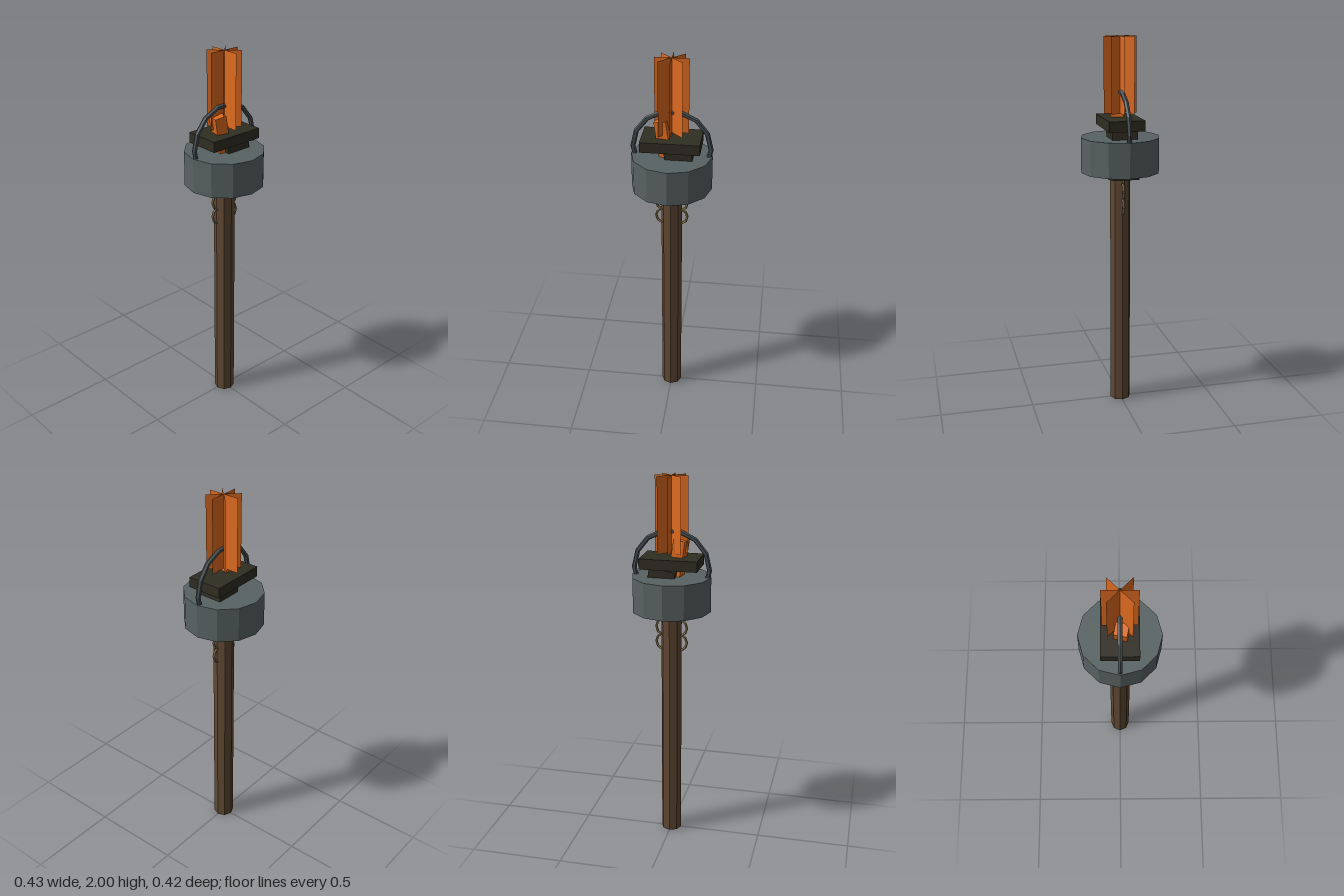
import * as THREE from 'three';

const material = (name, color, extra = {}) => {
  const m = new THREE.MeshStandardMaterial({ color, flatShading: true, ...extra });
  m.name = name;
  return m;
};

export function createModel() {
  const model = new THREE.Group();
  model.name = 'torch';

  const wood = material('wood', 0x604833);
  const iron = material('iron', 0x596363);
  const darkIron = material('dark iron', 0x485054);
  const char = material('charred wood', 0x302e23);
  const brass = material('brass', 0x8f7a52);
  const flame = material('flame orange', 0xdf6b20, { side: THREE.DoubleSide });

  const add = (name, geometry, mat, [x, y, z], [rx, ry, rz] = [0, 0, 0]) => {
    const mesh = new THREE.Mesh(geometry, mat);
    mesh.name = name;
    mesh.position.set(x, y, z);
    mesh.rotation.set(rx, ry, rz);
    model.add(mesh);
    return mesh;
  };

  // Shaft and the iron drum on top of it
  add('shaft', new THREE.CylinderGeometry(0.055, 0.055, 1.4, 8), wood, [0, 0.7, 0]);
  add('drum', new THREE.CylinderGeometry(0.21, 0.21, 0.185, 12), iron, [0, 1.39, 0]);

  // Ring handle, its lower half sunk into the drum
  add('handle', new THREE.TorusGeometry(0.2, 0.013, 6, 14), darkIron, [0, 1.52, 0]);

  // Burnt fuel: flat slab, tilted block and a glowing ember
  add('slab', new THREE.BoxGeometry(0.306, 0.055, 0.19), char, [0, 1.557, 0]);
  add('block', new THREE.BoxGeometry(0.14, 0.26, 0.135), char, [0.055, 1.395, 0], [0, 0, 0.15]);
  add('ember', new THREE.BoxGeometry(0.064, 0.26, 0.066), flame, [-0.032, 1.545, 0.01], [0, -0.19, 0.15]);

  // Flame: four crossed upright sheets
  for (let i = 0; i < 4; i++) {
    add('flameSheet', new THREE.PlaneGeometry(0.174, 0.395), flame, [0, 1.8025, 0], [0, i * Math.PI / 4, 0]);
  }

  // Short chains hanging on both sides of the shaft
  const link = new THREE.TorusGeometry(0.047, 0.007, 5, 10);
  for (const side of [-1, 1]) {
    for (let i = 0; i < 3; i++) {
      add('chainLink', link, brass, [side * 0.036, 1.118 + i * 0.082, 0]);
    }
  }
  return model;
}
